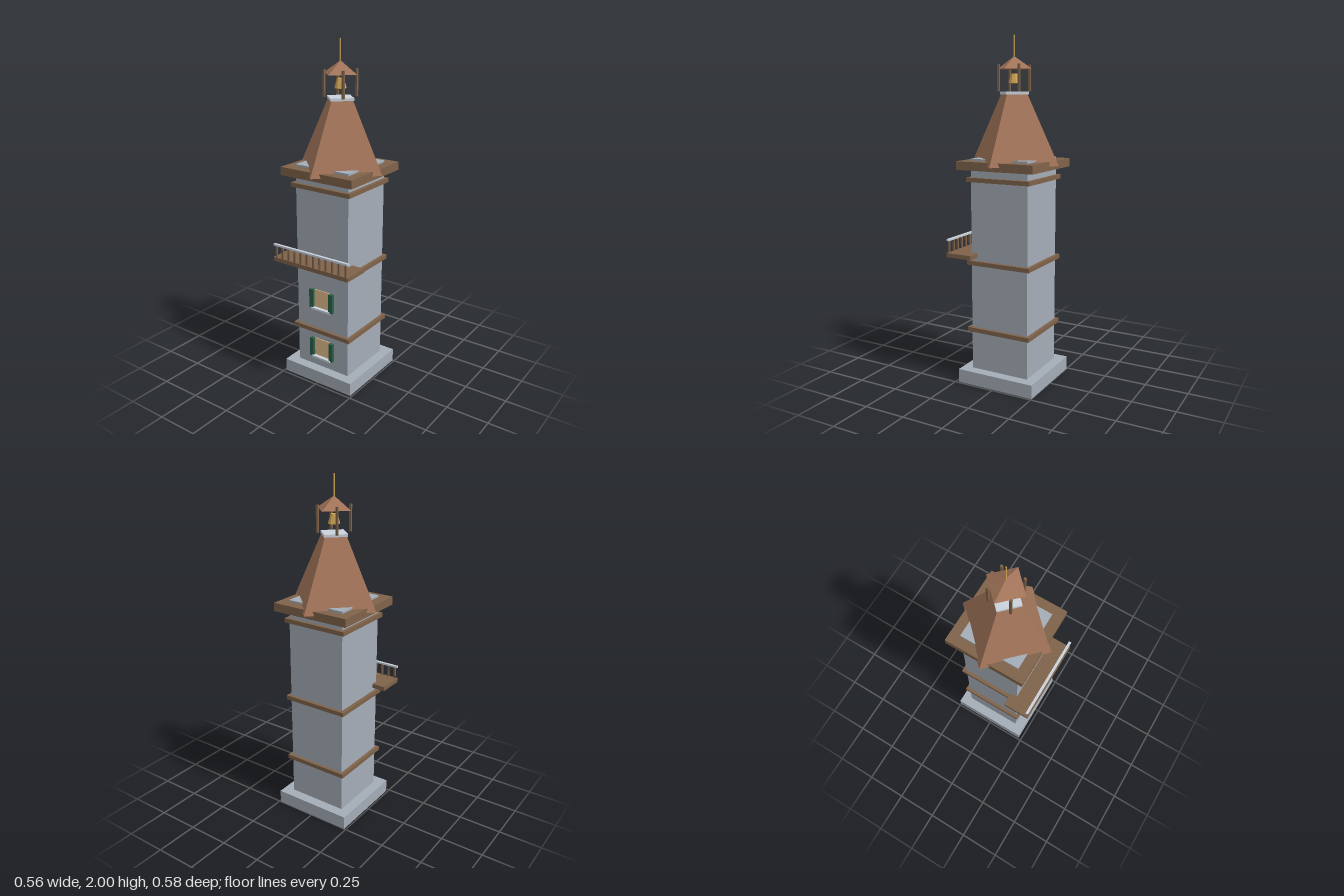
import * as THREE from 'three';

const mat = (color) => new THREE.MeshStandardMaterial({ color, flatShading: true });

export function createModel() {
  const tower = new THREE.Group();
  tower.name = 'bellTower';
  const stone = mat(0xa4acb7), wood = mat(0x7f634a), tile = mat(0xa5765b);
  const pale = mat(0xc9d2dc), brass = mat(0xd0a556), green = mat(0x2b6048), glass = mat(0xe0bd8a);
  const ZC = -0.01; // tower axis

  const add = (name, geometry, material, x, y, z) => {
    const mesh = new THREE.Mesh(geometry, material);
    mesh.name = name;
    mesh.position.set(x, y, z);
    tower.add(mesh);
    return mesh;
  };
  // box standing between heights y0 and y1
  const box = (name, material, w, d, y0, y1, x = 0, z = ZC) =>
    add(name, new THREE.BoxGeometry(w, y1 - y0, d), material, x, (y0 + y1) / 2, z);
  // tapered prism standing between heights y0 and y1
  const taper = (name, material, rBottom, rTop, y0, y1, sides = 4) =>
    add(name, new THREE.CylinderGeometry(rTop, rBottom, y1 - y0, sides), material, 0, (y0 + y1) / 2, ZC);

  // Masonry
  box('base', stone, 0.48, 0.48, 0, 0.08);
  box('shaft', stone, 0.36, 0.36, 0.08, 1.32);
  for (const y of [0.31, 0.71, 1.19]) box('band', wood, 0.4, 0.4, y, y + 0.025);
  box('cornice', wood, 0.48, 0.48, 1.26, 1.308);

  // Windows with shutters and sill
  for (const y of [0.14, 0.462]) {
    box('windowPane', glass, 0.11, 0.01, y + 0.005, y + 0.123, 0, 0.17);
    for (const s of [-1, 1]) box('shutter', green, 0.027, 0.02, y + 0.005, y + 0.123, s * 0.069, 0.18);
    box('windowSill', pale, 0.13, 0.03, y, y + 0.012, 0, 0.182);
  }

  // Balcony
  box('balconyFloor', wood, 0.52, 0.16, 0.755, 0.78, 0, 0.21);
  const count = 12;
  for (let i = 0; i < count; i++) {
    box('baluster', wood, 0.01, 0.01, 0.78, 0.85, -0.242 + (0.484 * i) / (count - 1), 0.282);
  }
  box('handrail', pale, 0.52, 0.016, 0.85, 0.861, 0, 0.282);

  // Roof turned corner to front, with a small belfry on top
  taper('roof', tile, 0.28, 0.084, 1.285, 1.677);
  taper('belfryFloor', pale, 0.092, 0.092, 1.675, 1.69);
  for (const sx of [-1, 1]) for (const sz of [-1, 1]) {
    box('belfryPost', wood, 0.012, 0.012, 1.69, 1.84, sx * 0.064, ZC + sz * 0.064);
  }
  taper('bell', brass, 0.034, 0.019, 1.737, 1.79, 8);
  taper('belfryRoof', tile, 0.11, 0, 1.815, 1.885);
  taper('finial', brass, 0.004, 0.004, 1.87, 2, 6);
  return tower;
}
